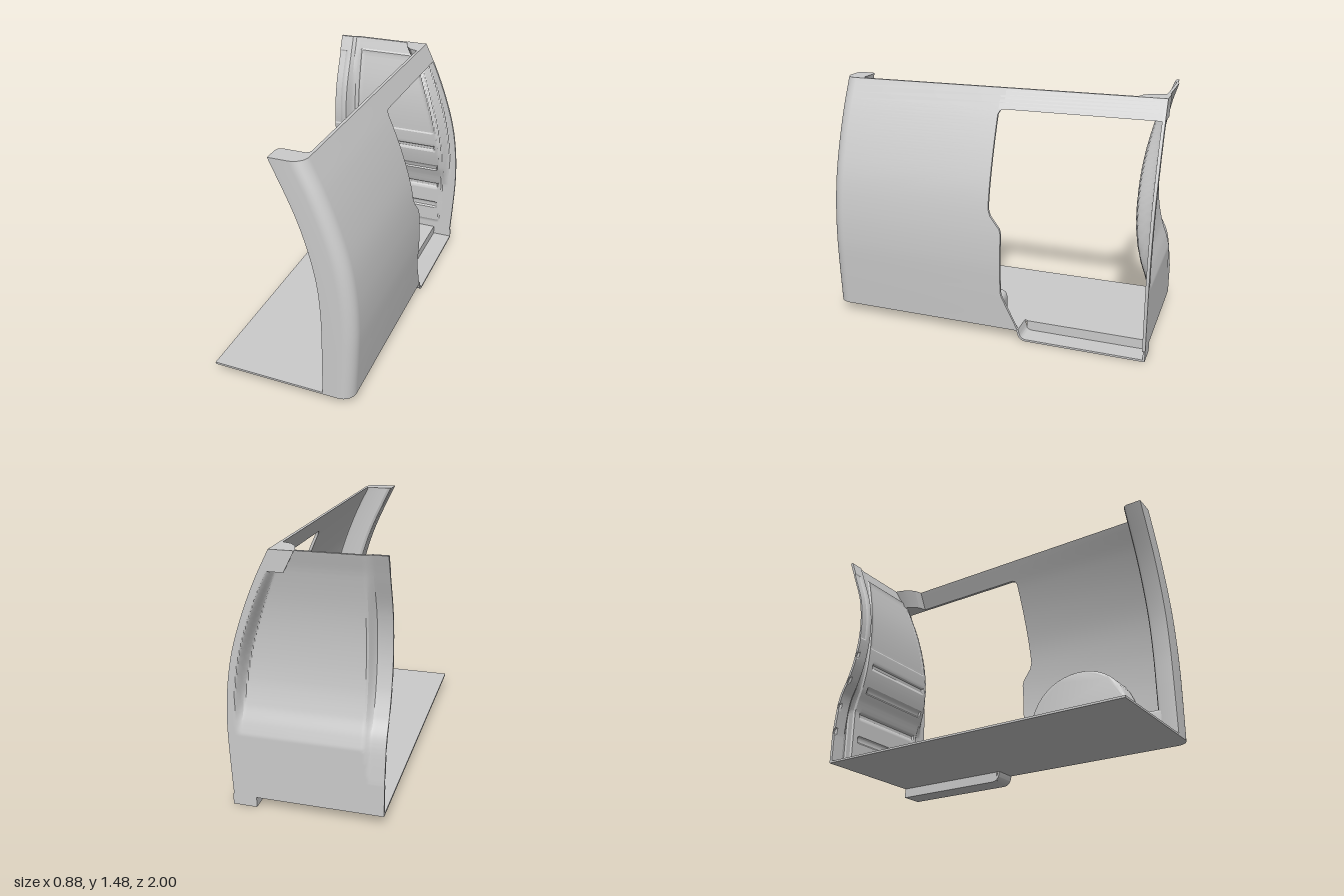
import * as THREE from 'three';
import { toCreasedNormals } from 'three/addons/utils/BufferGeometryUtils.js';

const material = new THREE.MeshStandardMaterial({ color: 0xcccccc });

// Interpolates [y, value] pairs, y rising; smooth (Hermite) or linear.
function curve(pts, smooth = true) {
  const slope = (i) => {
    const a = pts[Math.max(i - 1, 0)], b = pts[Math.min(i + 1, pts.length - 1)];
    return (b[1] - a[1]) / (b[0] - a[0]);
  };
  return (y) => {
    let i = 0;
    while (i < pts.length - 2 && y > pts[i + 1][0]) i++;
    const [y0, v0] = pts[i], [y1, v1] = pts[i + 1], h = y1 - y0;
    const t = Math.min(Math.max((y - y0) / h, 0), 1);
    if (!smooth) return v0 + (v1 - v0) * t;
    const t2 = t * t, t3 = t2 * t;
    return v0 * (2 * t3 - 3 * t2 + 1) + v1 * (3 * t2 - 2 * t3)
      + h * (slope(i) * (t3 - 2 * t2 + t) + slope(i + 1) * (t3 - t2));
  };
}

// Solid through horizontal [x, z] loops, one per height.
function loft(ys, section, crease = 0.5) {
  const loops = ys.map((y) => section(y).map(([x, z]) => new THREE.Vector3(x, y, z)));
  const n = loops[0].length, out = [];
  const tri = (a, b, c) => [a, b, c].forEach((p) => out.push(p.x, p.y, p.z));
  for (let i = 0; i < ys.length - 1; i++) {
    for (let j = 0; j < n; j++) {
      const k = (j + 1) % n;
      tri(loops[i][j], loops[i][k], loops[i + 1][k]);
      tri(loops[i][j], loops[i + 1][k], loops[i + 1][j]);
    }
  }
  [[loops[0], -1], [loops[loops.length - 1], 1]].forEach(([loop, dir]) => {
    const flat = loop.map((p) => new THREE.Vector2(p.x, p.z));
    for (const [i, j, k] of THREE.ShapeUtils.triangulateShape(flat, [])) {
      const a = loop[i], b = loop[j], c = loop[k];
      const up = (b.z - a.z) * (c.x - a.x) - (b.x - a.x) * (c.z - a.z);
      if (up * dir > 0) tri(a, b, c); else tri(a, c, b);
    }
  });
  const g = new THREE.BufferGeometry();
  g.setAttribute('position', new THREE.Float32BufferAttribute(out, 3));
  return toCreasedNormals(g, crease);
}

// Extrudes a (z, y) shape across x from x0 to x1.
function acrossX(shape, x0, x1, bevel = 0) {
  const g = new THREE.ExtrudeGeometry(shape, {
    depth: x1 - x0 - 2 * bevel, curveSegments: 16, bevelEnabled: bevel > 0,
    bevelSize: bevel, bevelOffset: -bevel, bevelThickness: bevel, bevelSegments: 4,
  });
  return toCreasedNormals(g.rotateY(-Math.PI / 2).translate(x1 - bevel, 0, 0), 0.6);
}

const steps = (a, b, n) => Array.from({ length: n + 1 }, (_, i) => a + ((b - a) * i) / n);
const ramp = (v, a, b) => THREE.MathUtils.smoothstep(v, a, b);

const BOTTOM = 0.06, TOP = 1.48, HEAD = 1.365, MID = -0.44, SKIN = 0.018;

// Outer side curve, pillar inner edge and front edge of the door opening
const sideX = curve([[0.06, 0.42], [0.3, 0.432], [0.5, 0.437], [0.7, 0.425], [0.9, 0.392],
  [1.1, 0.332], [1.3, 0.253], [1.48, 0.165]]);
const pillarX = curve([[0.06, 0.245], [0.4, 0.246], [0.6, 0.242], [0.8, 0.222], [1, 0.175],
  [1.2, 0.105], [1.48, -0.025]]);
const doorEdge = curve([[0.06, -0.23], [0.08, -0.22], [0.27, -0.13], [0.3, -0.122], [0.67, -0.122],
  [0.7, -0.113], [0.77, -0.055], [0.81, -0.04], [1.335, -0.04], [1.357, -0.05], [1.365, -0.07]], false);

// Rear wall depth: side part and deeper middle part
const wallZ = curve([[0.06, -1], [0.4, -0.988], [0.5, -0.965], [0.6, -0.93], [0.75, -0.9],
  [0.95, -0.89], [1.15, -0.902], [1.36, -0.94], [1.48, -0.975]]);
const middleZ = curve([[0.06, -1], [0.4, -0.965], [0.5, -0.943], [0.6, -0.895], [0.75, -0.845],
  [0.95, -0.82], [1.15, -0.842], [1.36, -0.915], [1.48, -0.96]]);

function wallOuter(x, y) {
  const recess = ramp(sideX(y) - x, 0.04, 0.085);
  const base = wallZ(y) + (middleZ(y) - wallZ(y)) * ramp(-x, 0.315, 0.36);
  return -1 + (base - SKIN + 1 > 0 ? base - SKIN + 1 : 0) * recess;
}

// Raised panels and pressed slots on the inside of the rear wall
function pressing(x, y) {
  const rect = (x0, x1, y0, y1, w = 0.012) =>
    ramp(Math.min(x - x0, x1 - x, y - y0, y1 - y), 0, w);
  const edge = sideX(y) - 0.09;
  let d = 0.008 * rect(-0.295, edge, 0.125, 1.41);
  d -= 0.006 * rect(-0.28, edge - 0.02, 0.87, 1.395);
  d -= 0.006 * rect(-1, -0.385, 0.87, 1.39);
  for (const s of [0.24, 0.405, 0.57, 0.735]) {
    d -= 0.011 * (rect(-0.24, edge - 0.03, s, s + 0.048) + rect(-1, -0.418, s, s + 0.048));
  }
  return d - 0.008 * rect(-0.352, -0.328, 0, 2, 0.01);
}

function wallSection(y) {
  const cols = 84, xs = steps(MID, 0.44, cols).map((x, i) => Math.min(x, sideX(y) - (cols - i) * 1e-4));
  const inner = xs.map((x) => [x, wallOuter(x, y) + SKIN + pressing(x, y)]);
  return [...inner, ...xs.map((x) => [x, wallOuter(x, y)]).reverse()];
}

// Side panel with its rounded front corner and the boxed pillar
function sideSection(y) {
  const s = sideX(y), r = 0.08, z0 = doorEdge(y);
  const arc = steps(Math.PI / 2, 0, 8).map((a) => [s - r + r * Math.cos(a), 1 - r + r * Math.sin(a)]);
  const p = pillarX(y);
  return [[p, 1], ...arc, [s, z0], [s - SKIN, z0], [s - SKIN, 0.855], [s - SKIN - 0.008, 0.873],
    [s - SKIN - 0.025, 0.88], [p + 0.025, 0.88], [p + 0.007, 0.89], [p, 0.91]];
}

function railSection(y) {
  const s = sideX(y);
  return [[s - SKIN, -0.04], [s, -0.04], [s, -1], [s - SKIN, -1]];
}

function gussetSection(y) {
  const s = sideX(y);
  return [[s - 0.135, -1], [s - 0.125, -0.95], [s - 0.105, -0.895], [s - 0.065, -0.85],
    [s - 0.01, -0.83], [s - 0.002, -0.83], [s - 0.002, -1]];
}

export function createModel() {
  const model = new THREE.Group();
  const add = (name, geometry) => {
    const mesh = new THREE.Mesh(geometry, material);
    mesh.name = name;
    model.add(mesh);
  };
  const box = (name, x0, x1, y0, y1, z0, z1) => add(name,
    new THREE.BoxGeometry(x1 - x0, y1 - y0, z1 - z0)
      .translate((x0 + x1) / 2, (y0 + y1) / 2, (z0 + z1) / 2));

  // Side panel, rows matching the bends of the door opening
  const rows = [...steps(BOTTOM, 1.33, 70), 0.08, 0.27, 0.3, 0.67, 0.7, 0.77, 0.81,
    1.335, 1.35, 1.357, HEAD, 1.4, 1.44, TOP].sort((a, b) => a - b)
    .filter((y, i, all) => i === 0 || y - all[i - 1] > 1e-6);
  add('sidePanel', loft(rows, sideSection));
  add('doorHeadRail', loft(steps(HEAD, TOP, 6), railSection));
  add('roofCornerGusset', loft(steps(HEAD, TOP, 6), gussetSection));
  add('rearWall', loft(steps(BOTTOM, TOP, 142), wallSection, 0.4));

  // Floor with the step cut-out and a rounded front corner
  const floor = new THREE.Shape();
  floor.moveTo(MID, -1);
  floor.lineTo(0.34, -1);
  floor.absarc(0.34, -0.92, 0.079, -Math.PI / 2, 0);
  [[0.419, 0.23], [0.29, 0.23], [0.29, 0.998], [MID, 0.998]].forEach(([x, y]) => floor.lineTo(x, y));
  add('floor', new THREE.ExtrudeGeometry(floor, { depth: 0.012, bevelEnabled: false, curveSegments: 8 })
    .rotateX(-Math.PI / 2).translate(0, BOTTOM, 0));

  // Step well
  const tread = new THREE.Shape();
  tread.moveTo(-0.222, 0.072);
  tread.lineTo(-0.23, 0.04);
  tread.quadraticCurveTo(-0.24, 0, -0.285, 0);
  tread.lineTo(-1, 0);
  tread.lineTo(-1, 0.012);
  tread.lineTo(-0.285, 0.012);
  tread.quadraticCurveTo(-0.25, 0.012, -0.242, 0.045);
  tread.lineTo(-0.234, 0.072);
  add('stepTread', acrossX(tread, 0.286, 0.425));
  box('stepRiser', 0.286, 0.298, 0.005, 0.072, -0.999, -0.25);
  box('stepRearEnd', 0.286, 0.425, 0, 0.065, -1, -0.988);

  // Wheel arch with a shelf running to the pillar
  const arch = new THREE.Shape();
  arch.moveTo(0.93, 0.062);
  arch.lineTo(0.93, 0.24);
  arch.lineTo(0.82, 0.24);
  arch.bezierCurveTo(0.72, 0.24, 0.72, 0.3, 0.68, 0.4);
  arch.bezierCurveTo(0.58, 0.66, 0.18, 0.66, 0.06, 0.4);
  arch.bezierCurveTo(0.01, 0.28, -0.02, 0.24, -0.06, 0.24);
  arch.quadraticCurveTo(-0.11, 0.24, -0.11, 0.19);
  arch.lineTo(-0.11, 0.062);
  add('wheelArch', acrossX(arch, 0.247, 0.415, 0.02));

  return model;
}
